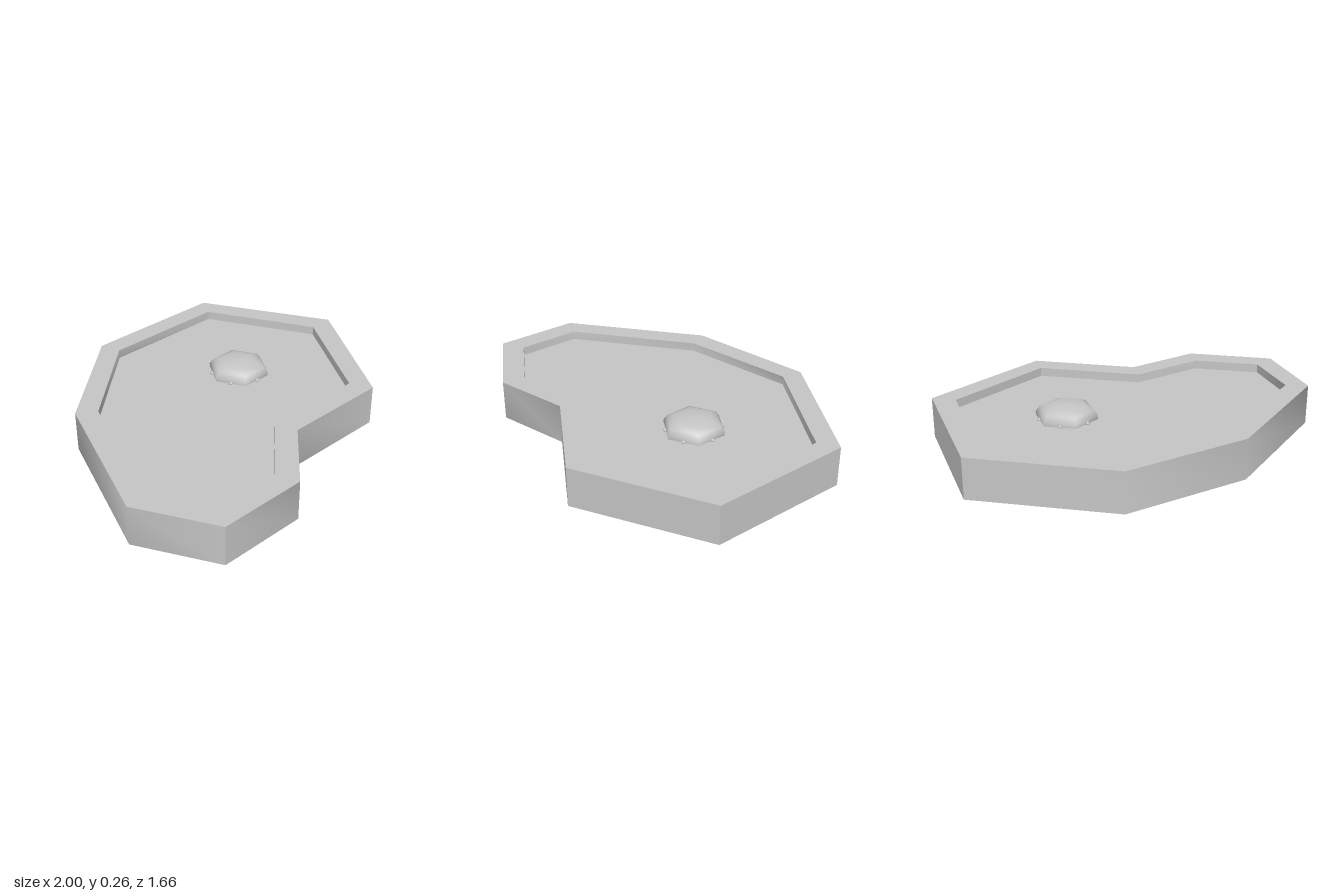
import * as THREE from 'three';
import { mergeGeometries, toCreasedNormals } from 'three/addons/utils/BufferGeometryUtils.js';

// Outlines as [x, z], same winding for both
const OUTER = [[-0.19, -0.83], [0.6, -0.83], [1, -0.15], [0.6, 0.53], [0.01, 0.53],
  [-0.29, 0.83], [-0.77, 0.83], [-1, 0.42], [-0.72, -0.36]];
const INNER = [[-0.15, -0.72], [0.54, -0.72], [0.865, -0.15], [0.54, 0.415], [-0.04, 0.415],
  [-0.335, 0.71], [-0.7, 0.71], [-0.875, 0.405], [-0.62, -0.295]];
const TOP = 0.225, FLOOR = 0.176;
const CREASE = THREE.MathUtils.degToRad(55);

const toVectors = (pts) => pts.map(([x, z]) => new THREE.Vector2(x, -z));

// Flat horizontal face at height y, facing up or down
function cap(pts, y, hole, down = false) {
  const shape = new THREE.Shape(toVectors(pts));
  if (hole) shape.holes.push(new THREE.Path(toVectors(hole)));
  const g = new THREE.ShapeGeometry(shape).toNonIndexed();
  g.deleteAttribute('uv');
  g.rotateX(-Math.PI / 2);
  if (down) {
    const p = g.attributes.position;
    const a = new THREE.Vector3(), b = new THREE.Vector3();
    for (let i = 0; i < p.count; i += 3) {
      a.fromBufferAttribute(p, i + 1);
      b.fromBufferAttribute(p, i + 2);
      p.setXYZ(i + 1, b.x, b.y, b.z);
      p.setXYZ(i + 2, a.x, a.y, a.z);
    }
  }
  g.translate(0, y, 0);
  g.computeVertexNormals();
  return g;
}

// Vertical band around an outline, facing outwards or inwards
function wall(pts, y0, y1, inward = false) {
  const pos = [];
  pts.forEach((p, i) => {
    const q = pts[(i + 1) % pts.length];
    const [a, b] = inward ? [q, p] : [p, q];
    const a0 = [a[0], y0, a[1]], a1 = [a[0], y1, a[1]];
    const b0 = [b[0], y0, b[1]], b1 = [b[0], y1, b[1]];
    pos.push(...a0, ...a1, ...b1, ...a0, ...b1, ...b0);
  });
  const g = new THREE.BufferGeometry();
  g.setAttribute('position', new THREE.Float32BufferAttribute(pos, 3));
  g.computeVertexNormals();
  return g;
}

export function createModel() {
  const group = new THREE.Group();
  const grey = new THREE.MeshStandardMaterial({ color: 0xc6c6c6 });
  grey.name = 'light grey';

  const add = (name, geometry, parent = group) => {
    const mesh = new THREE.Mesh(geometry, grey);
    mesh.name = name;
    parent.add(mesh);
    return mesh;
  };

  // Tray body: outer wall, rim, recess wall and underside
  add('trayBody', toCreasedNormals(mergeGeometries([
    wall(OUTER, 0, TOP),
    cap(OUTER, TOP, INNER),
    wall(INNER, FLOOR, TOP, true),
    cap(OUTER, 0, null, true),
  ]), CREASE));

  // Sunken floor
  add('trayFloor', cap(INNER, FLOOR));

  // Six-sided domed knob
  const knob = new THREE.Group();
  knob.name = 'knob';
  knob.position.set(0.25, 0, -0.15);
  group.add(knob);
  const profile = [[0.168, FLOOR - 0.01], [0.17, 0.195], [0.15, 0.226], [0.11, 0.243],
    [0.06, 0.253], [0, 0.256]].map(([r, y]) => new THREE.Vector2(r, y));
  add('knobDome', new THREE.LatheGeometry(profile, 6, Math.PI / 2), knob);

  // Tiny studs at the middle of each side of the knob
  for (let i = 0; i < 6; i++) {
    const angle = Math.PI / 6 + (i * Math.PI) / 3;
    const stud = add('knobStud', new THREE.SphereGeometry(0.011, 8, 6), knob);
    stud.position.set(Math.cos(angle) * 0.15, FLOOR + 0.004, Math.sin(angle) * 0.15);
  }
  return group;
}
